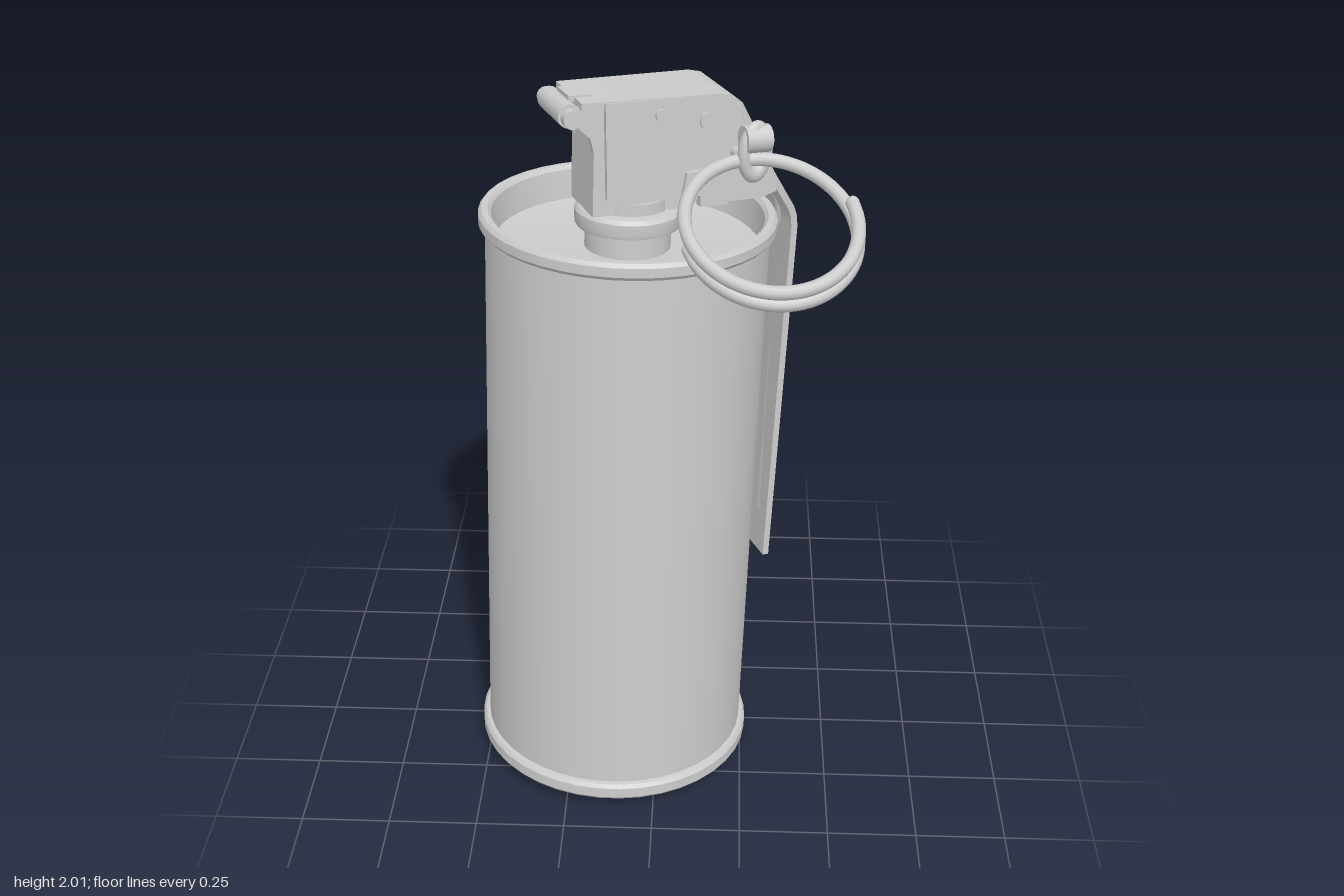
import * as THREE from 'three';
import { toCreasedNormals } from 'three/addons/utils/BufferGeometryUtils.js';

const material = new THREE.MeshStandardMaterial({ color: 0xcccccc, side: THREE.DoubleSide });
const V = (x, y, z) => new THREE.Vector3(x, y, z);

function add(parent, name, geometry, x = 0, y = 0, z = 0) {
  const mesh = new THREE.Mesh(geometry, material);
  mesh.name = name;
  mesh.position.set(x, y, z);
  parent.add(mesh);
  return mesh;
}

function lathe(points, segments = 40) {
  const profile = points.map(([r, y]) => new THREE.Vector2(r, y));
  return toCreasedNormals(new THREE.LatheGeometry(profile, segments), 0.6);
}

// Plate outlined in x and y, centred on z
function plate(points, depth) {
  const shape = new THREE.Shape(points.map(([x, y]) => new THREE.Vector2(x, y)));
  return new THREE.ExtrudeGeometry(shape, { depth, bevelEnabled: false }).translate(0, 0, -depth / 2);
}

// Round rod along z
function rodZ(radius, length, sides = 16) {
  return new THREE.CylinderGeometry(radius, radius, length, sides).rotateX(Math.PI / 2);
}

// Rod with rounded ends between points
function rod(parent, name, points, radius) {
  const curve = new THREE.CatmullRomCurve3(points);
  add(parent, name, new THREE.TubeGeometry(curve, 12, radius, 8));
  for (const p of [points[0], points[points.length - 1]])
    add(parent, name + 'End', new THREE.SphereGeometry(radius, 10, 8), p.x, p.y, p.z);
}

// Bent strip of changing width: rows of [x, y, half width], thickened inwards
function strip(rows, thickness) {
  const pos = [], index = [];
  rows.forEach(([x, y, w], i) => {
    const a = rows[Math.max(i - 1, 0)], b = rows[Math.min(i + 1, rows.length - 1)];
    const t = new THREE.Vector2(b[0] - a[0], b[1] - a[1]).normalize();
    const ix = x + t.y * thickness, iy = y - t.x * thickness;
    pos.push(x, y, w, x, y, -w, ix, iy, -w, ix, iy, w);
    if (i === 0) return;
    for (let k = 0; k < 4; k++) {
      const p = (i - 1) * 4 + k, q = (i - 1) * 4 + (k + 1) % 4;
      index.push(p, p + 4, q, q, p + 4, q + 4);
    }
  });
  const n = pos.length / 3 - 4;
  index.push(0, 1, 2, 0, 2, 3, n, n + 2, n + 1, n, n + 3, n + 2);
  const g = new THREE.BufferGeometry();
  g.setAttribute('position', new THREE.Float32BufferAttribute(pos, 3));
  g.setIndex(index);
  return toCreasedNormals(g, 0.7);
}

export function createModel() {
  const model = new THREE.Group();
  model.name = 'canister';

  // Everything but the ring leans slightly and is turned about its axis
  const body = new THREE.Group();
  body.name = 'canisterBody';
  body.position.set(-0.133, 0.023, 0.04);
  body.quaternion.setFromUnitVectors(V(0, 1, 0), V(0.032, 1, -0.05).normalize())
    .multiply(new THREE.Quaternion().setFromAxisAngle(V(0, 1, 0), 0.41));
  model.add(body);

  // Can with rolled rims and recessed ends
  add(body, 'can', lathe([
    [0, 0.1], [0.345, 0.1], [0.352, 0.01], [0.362, 0], [0.388, 0], [0.396, 0.01], [0.396, 0.04],
    [0.388, 0.05], [0.377, 0.052], [0.377, 1.605], [0.387, 1.607], [0.395, 1.617], [0.395, 1.642],
    [0.387, 1.652], [0.37, 1.652], [0.361, 1.642], [0.352, 1.56], [0.3, 1.55], [0, 1.55],
  ]));

  // Threaded neck and collar
  add(body, 'neck', lathe([
    [0.115, 1.54], [0.115, 1.61], [0.14, 1.615], [0.143, 1.625], [0.143, 1.655],
    [0.135, 1.665], [0.11, 1.668], [0.11, 1.7], [0, 1.7],
  ], 32));

  // Fuse housing inside the channel
  add(body, 'fuseHousing', plate([
    [-0.13, 1.67], [0.12, 1.67], [0.2, 1.71], [0.2, 1.95], [-0.09, 1.95], [-0.13, 1.91],
  ], 0.17));

  // Lever: flat top, bend, slope and long tapering tail
  add(body, 'lever', strip([
    [-0.17, 1.978, 0.1], [0.2, 1.978, 0.11], [0.235, 1.971, 0.11], [0.262, 1.95, 0.11], [0.285, 1.91, 0.11],
    [0.37, 1.75, 0.1], [0.44, 1.645, 0.088], [0.453, 1.615, 0.085], [0.458, 1.58, 0.083], [0.456, 0.53, 0.055],
  ], 0.018));

  // Y-shaped stiffening rib
  rod(body, 'leverRib', [V(0.455, 0.66, 0), V(0.457, 1.1, 0), V(0.457, 1.57, 0), V(0.44, 1.64, 0), V(0.39, 1.72, 0)], 0.02);
  for (const s of [-1, 1])
    rod(body, 'ribBranch', [V(0.4, 1.705, 0), V(0.375, 1.742, s * 0.022), V(0.336, 1.813, s * 0.06)], 0.015);

  for (const s of [-1, 1]) {
    // Side walls of the lever channel
    add(body, 'leverSide', plate([
      [-0.11, 1.975], [0.21, 1.975], [0.255, 1.945], [0.37, 1.735], [0.375, 1.70], [0.33, 1.685],
      [0.2, 1.685], [0.19, 1.715], [-0.06, 1.70], [-0.1, 1.72],
    ], 0.014), 0, 0, s * 0.102);
    // Pressed dimples
    add(body, 'largeDimple', rodZ(0.024, 0.016), 0.17, 1.91, s * 0.109);
    add(body, 'smallDimple', rodZ(0.016, 0.016), 0.04, 1.935, s * 0.109);
    // Foot tabs turned out below the walls
    add(body, 'footTab', new THREE.BoxGeometry(0.08, 0.04, 0.025), 0.19, 1.705, s * 0.116);
    // Hinge ears with slanted arms
    add(body, 'hingeArm', plate([
      [-0.21, 1.945], [-0.185, 1.965], [-0.09, 1.95], [-0.09, 1.86], [-0.13, 1.84], [-0.14, 1.88],
    ], 0.02), 0, 0, s * 0.075);
    add(body, 'hingeKnob', rodZ(0.024, 0.03), -0.195, 1.94, s * 0.095);
  }

  // Hinge barrel and hooked tongue
  add(body, 'hingeBarrel', rodZ(0.031, 0.165), -0.195, 1.942, 0);
  add(body, 'hingeTongue', new THREE.BoxGeometry(0.06, 0.014, 0.09), -0.155, 1.975, 0);

  // Bracket plate beside the pin
  add(body, 'pinBracket', plate([
    [0.1, 1.72], [0.3, 1.70], [0.31, 1.78], [0.27, 1.80], [0.2, 1.79], [0.11, 1.78],
  ], 0.014), 0, 0, 0.122);

  // Safety pin with split tail and folded eye
  add(body, 'pinShaft', rodZ(0.015, 0.31), 0.25, 1.82, 0);
  for (const s of [-1, 1])
    rod(body, 'pinTail', [V(0.25, 1.82, -0.128), V(0.25, 1.82 + s * 0.03, -0.132), V(0.255, 1.82 + s * 0.06, -0.128)], 0.01);
  const eye = add(body, 'pinEye', new THREE.TorusGeometry(0.045, 0.017, 10, 24), 0.28, 1.835, 0.165);
  eye.scale.set(0.85, 1.35, 1);
  eye.rotation.y = 0.25;
  add(body, 'pinClip', new THREE.CylinderGeometry(0.036, 0.036, 0.07, 16).rotateZ(Math.PI / 2), 0.28, 1.87, 0.165);

  // Split pull ring: one and a half coils in a tilted plane
  const coil = [], start = -0.35, turns = 1.5, steps = 60;
  for (let i = 0; i <= steps; i++) {
    const t = i / steps, a = start + t * turns * Math.PI * 2;
    coil.push(V(0.217 * Math.cos(a), 0.024 - 0.048 * t, 0.217 * Math.sin(a)));
  }
  for (const p of coil) p.y += -0.42 * p.z - 0.1 * p.x;
  const ring = add(model, 'pullRing', new THREE.TubeGeometry(new THREE.CatmullRomCurve3(coil), 120, 0.018, 10), 0.29, 1.735, 0.205);
  for (const p of [coil[0], coil[steps]])
    add(ring, 'pullRingEnd', new THREE.SphereGeometry(0.018, 10, 8), p.x, p.y, p.z);

  return model;
}
